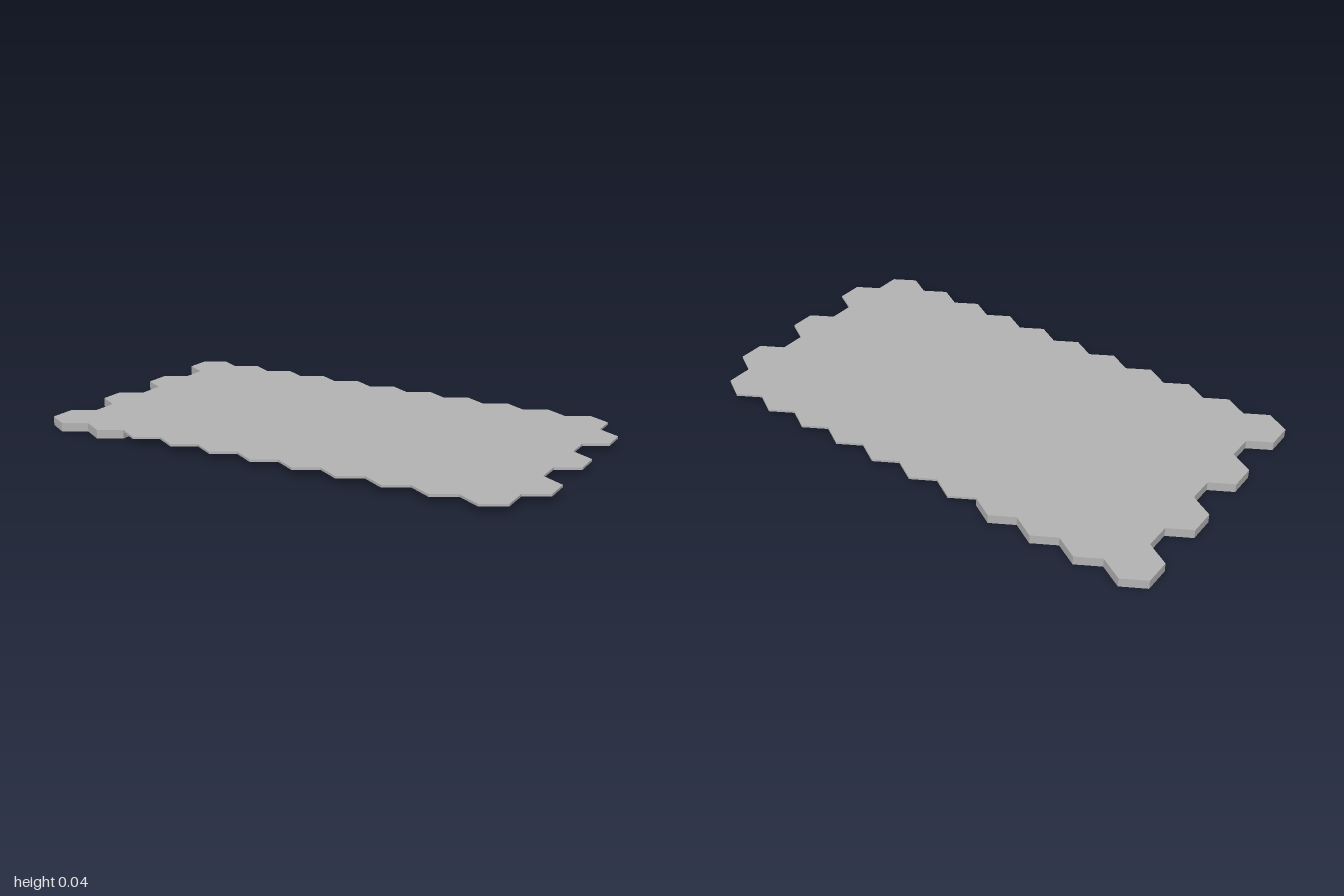
import * as THREE from 'three';

const COLUMNS = 11, ROWS = 7;
const W = 2 / (COLUMNS + 0.5);      // hexagon width across flats
const R = W / Math.sqrt(3);         // hexagon corner radius
const BASE_TOP = 0.026, TOP = 0.035;

// Hexagons of the raised base in each row, counted from -x, back row first
const BASE_COUNTS = [4, 4, 2, 1, 2, 1, 2];

// Outline of a patch of hexagons: keep the edges that no neighbour shares, then chain them
function hexOutline(counts) {
  const key = (p) => `${Math.round(p.x * 1000)},${Math.round(p.y * 1000)}`;
  const edges = new Map();
  counts.forEach((count, row) => {
    const cy = ((ROWS - 1) / 2 - row) * 1.5 * R;
    for (let i = 0; i < count; i++) {
      const cx = -1 + (i + 0.5 + (row % 2) / 2) * W;
      const corners = [0, 1, 2, 3, 4, 5].map((k) => {
        const a = Math.PI / 6 + (k * Math.PI) / 3;
        return new THREE.Vector2(cx + R * Math.cos(a), cy + R * Math.sin(a));
      });
      corners.forEach((a, k) => {
        const b = corners[(k + 1) % 6];
        const reverse = `${key(b)}|${key(a)}`;
        if (edges.has(reverse)) edges.delete(reverse);
        else edges.set(`${key(a)}|${key(b)}`, [a, b]);
      });
    }
  });
  const next = new Map([...edges.values()].map(([a, b]) => [key(a), b]));
  const start = [...edges.values()][0][0];
  const points = [start];
  for (let p = next.get(key(start)); key(p) !== key(start); p = next.get(key(p))) points.push(p);
  return new THREE.Shape(points);
}

// Flat tile patch between two heights
function hexPlate(name, counts, bottom, top, material) {
  const geometry = new THREE.ExtrudeGeometry(hexOutline(counts), {
    depth: top - bottom, bevelEnabled: false,
  });
  geometry.rotateX(-Math.PI / 2);
  geometry.translate(0, bottom, 0);
  const mesh = new THREE.Mesh(geometry, material);
  mesh.name = name;
  return mesh;
}

export function createModel() {
  const group = new THREE.Group();
  group.name = 'hexTilePlate';
  const grey = new THREE.MeshStandardMaterial({ color: 0xb4b4b4 });
  grey.name = 'grey';

  // Thin full-size sheet on top, thick base under one end
  group.add(hexPlate('topSheet', Array(ROWS).fill(COLUMNS), BASE_TOP, TOP, grey));
  group.add(hexPlate('base', BASE_COUNTS, 0, BASE_TOP, grey));
  return group;
}
